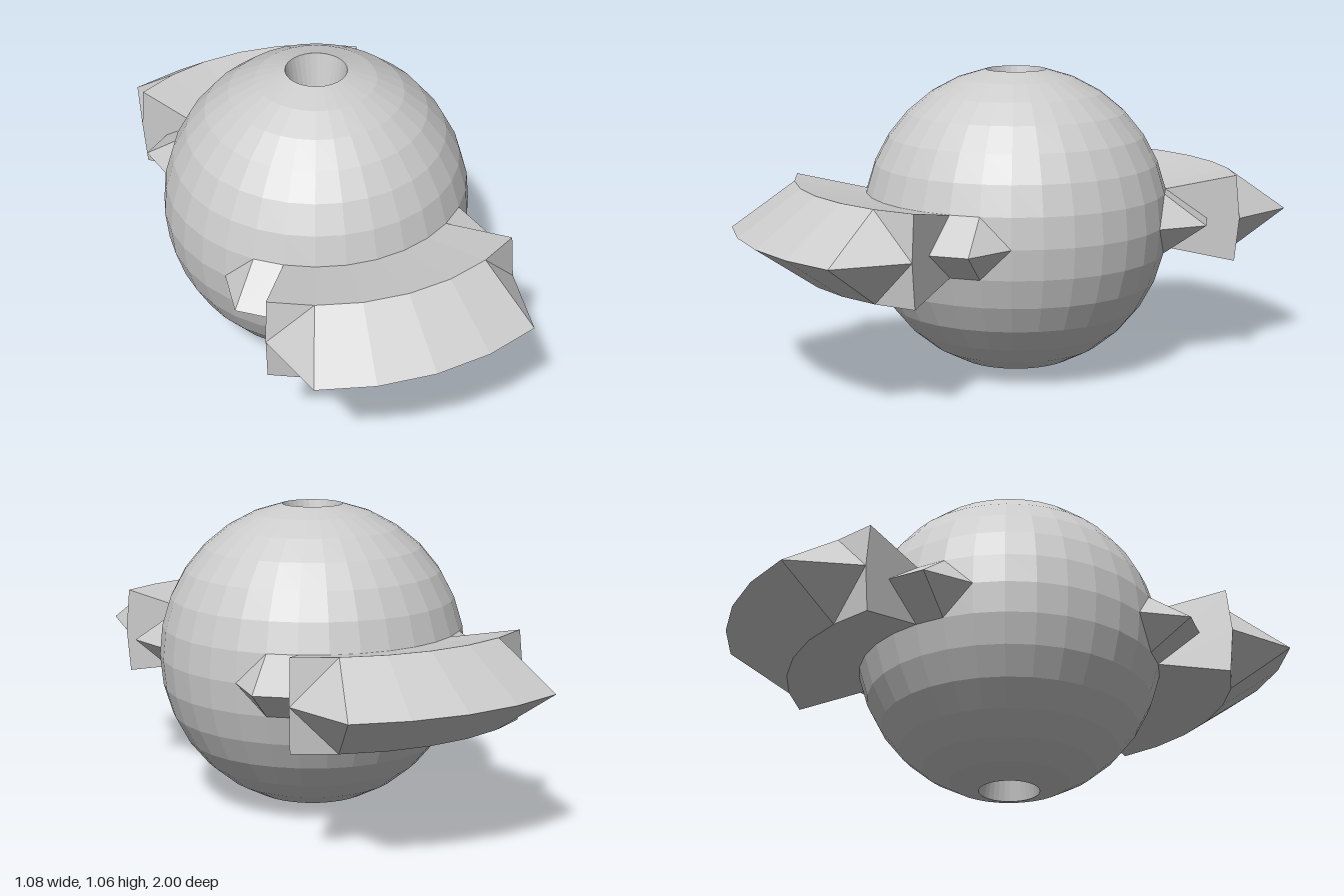
import * as THREE from 'three';

const R = 0.5417;             // body radius
const STEP = Math.PI / 16;    // facet angle, both around and up
const LATS = [-1, -1, 0, 1, 1];
const CENTRE_Y = R * Math.cos(STEP);

// Faceted ball whose poles are pulled in to the centre as conical sockets
function bodyGeometry() {
  const geo = new THREE.SphereGeometry(R, 32, 16);
  const pos = geo.attributes.position;
  for (let i = 0; i < pos.count; i++) {
    if (Math.abs(pos.getY(i)) > R * 0.99) pos.setXYZ(i, 0, 0, 0);
  }
  geo.computeVertexNormals();
  return geo;
}

// Cross-section radiating from the body: base, ridge, tip, ridge, base
function section([lon, ridge, tip]) {
  return [1, ridge, tip, ridge, 1].map((scale, row) => {
    const a = lon * STEP, b = LATS[row] * STEP, r = R * scale;
    const p = new THREE.Vector3(
      r * Math.sin(a) * Math.cos(b), r * Math.sin(b), r * Math.cos(a) * Math.cos(b));
    return { p, scale };
  });
}

// Skin over successive sections; side = 1 or -1 mirrors it in x
function flangeGeometry(columns, side, capEnd) {
  const verts = [];
  const tri = (a, b, c) => {
    if ([a, b, c].every((v) => v.scale === 1)) return; // lies on the body itself
    for (const v of side > 0 ? [a, b, c] : [a, c, b]) verts.push(side * v.p.x, v.p.y, v.p.z);
  };
  const cols = columns.map(section);
  for (let i = 0; i < cols.length - 1; i++) {
    const m = cols[i], n = cols[i + 1];
    for (let j = 0; j < 4; j++) {
      if (j < 2) {
        tri(m[j], n[j], n[j + 1]);
        tri(m[j], n[j + 1], m[j + 1]);
      } else {
        tri(m[j], n[j], m[j + 1]);
        tri(n[j], n[j + 1], m[j + 1]);
      }
    }
  }
  // Flat radial end wall
  if (capEnd) {
    const e = cols[cols.length - 1];
    for (let j = 1; j < 4; j++) tri(e[0], e[j + 1], e[j]);
  }
  const geo = new THREE.BufferGeometry();
  geo.setAttribute('position', new THREE.Float32BufferAttribute(verts, 3));
  geo.computeVertexNormals();
  return geo;
}

export function createModel() {
  const model = new THREE.Group();
  const material = new THREE.MeshStandardMaterial({ color: 0xcccccc, flatShading: true });
  const add = (parent, name, geo) => {
    const mesh = new THREE.Mesh(geo, material);
    mesh.name = name;
    parent.add(mesh);
  };

  const ball = new THREE.Group();
  ball.name = 'finnedBall';
  ball.position.y = CENTRE_Y;
  model.add(ball);
  add(ball, 'body', bodyGeometry());

  // [facet steps around, ridge scale, tip scale]
  const OUT = 1 / R;
  const wing = [[0, 1.469, OUT], [1, 1.469, OUT], [2, 1.469, OUT], [3, 1.469, 1.469]];
  const fin = [[3, 1, 1.255], [4, 1, 1.255], [5, 1, 1]];

  // The same wing and pair of fins, front and back
  for (const end of ['front', 'back']) {
    const flange = new THREE.Group();
    flange.name = end + 'Flange';
    if (end === 'back') flange.rotation.y = Math.PI;
    for (const side of [1, -1]) {
      const label = (side > 0) === (end === 'front') ? 'Left' : 'Right';
      add(flange, end + 'Wing' + label, flangeGeometry(wing, side, true));
      add(flange, end + 'Fin' + label, flangeGeometry(fin, side, false));
    }
    ball.add(flange);
  }
  return model;
}
